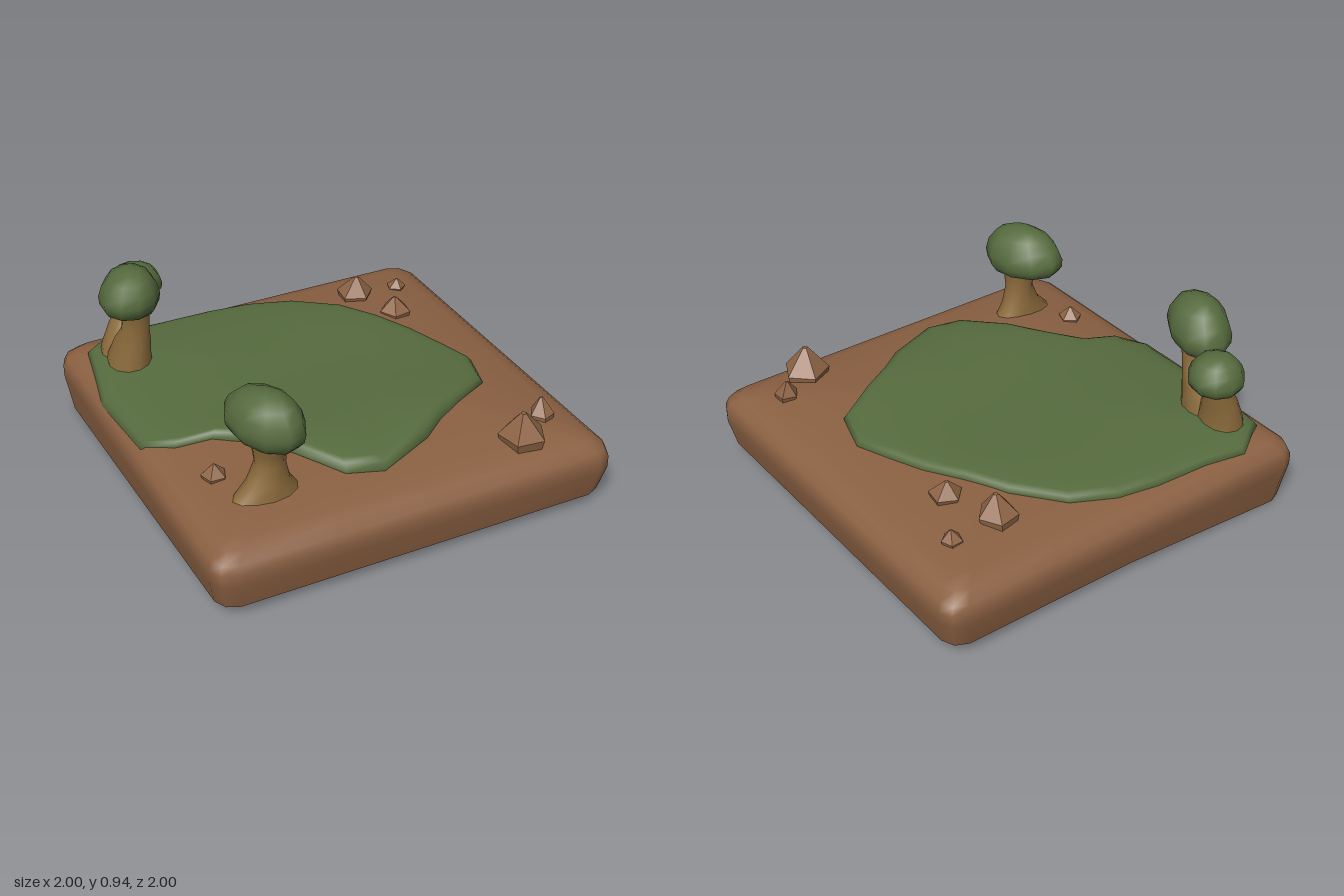
import * as THREE from 'three';
import { mergeVertices } from 'three/addons/utils/BufferGeometryUtils.js';

const material = (color, flatShading = false) =>
  new THREE.MeshStandardMaterial({ color, flatShading, side: THREE.DoubleSide });
const SOIL = material(0x8a6042);
const GRASS = material(0x566b3e);
const BARK = material(0x8c6c3c);
const ROCK = material(0x8f6546, true);

// Skin a stack of equal-length rings, each counter-clockwise from above, bottom to top
function loft(rings) {
  const n = rings[0].length;
  const index = [];
  for (let i = 0; i < rings.length - 1; i++) {
    for (let j = 0; j < n; j++) {
      const a = i * n + j, b = i * n + (j + 1) % n;
      index.push(a, b, b + n, a, b + n, a + n);
    }
  }
  const geometry = new THREE.BufferGeometry();
  geometry.setAttribute('position', new THREE.Float32BufferAttribute(rings.flat(2), 3));
  geometry.setIndex(index);
  const merged = mergeVertices(geometry);
  merged.computeVertexNormals();
  return merged;
}

function addMesh(parent, name, geometry, mat) {
  const mesh = new THREE.Mesh(geometry, mat);
  mesh.name = name;
  parent.add(mesh);
  return mesh;
}

// Ellipse ring turned by an angle about y
function ellipse(cx, y, cz, rx, rz, turn = 0, sides = 12, tilt = 0) {
  return Array.from({ length: sides }, (_, i) => {
    const a = i / sides * Math.PI * 2;
    const x = Math.cos(a) * rx, z = -Math.sin(a) * rz;
    return [
      cx + x * Math.cos(turn) + z * Math.sin(turn),
      y + z * tilt,
      cz - x * Math.sin(turn) + z * Math.cos(turn)];
  });
}

// Ground slab profile: [half width, height], from the rim to the middle
const PROFILE = [[1, 0.25], [0.985, 0.29], [0.94, 0.328], [0.87, 0.352],
  [0.7, 0.375], [0.5, 0.398], [0.25, 0.408], [0, 0.41]];

function groundHeight(x, z) {
  const m = Math.min(1, Math.max(Math.abs(x), Math.abs(z)));
  for (let i = 1; i < PROFILE.length; i++) {
    const [r0, y0] = PROFILE[i - 1], [r1, y1] = PROFILE[i];
    if (m >= r1) return y1 + (y0 - y1) * (m - r1) / (r0 - r1);
  }
  return 0.41;
}

// Rounded square slab, open underneath, with an uneven lower rim
function groundGeometry() {
  let side = [[-0.91, 1], [-0.45, 1], [0, 1], [0.45, 1], [0.91, 1], [0.972, 0.972]];
  const outline = [];
  for (let k = 0; k < 4; k++) {
    outline.push(...side);
    side = side.map(([x, z]) => [z, -x]);
  }
  const rim = outline.map(([x, z]) => {
    const drop = Math.max(0, -x / 0.972) * (1 - z / 0.972) / 2;
    return [x * 0.97, Math.max(0, 0.058 - 0.058 * drop), z * 0.97];
  });
  const rings = PROFILE.map(([r, y]) => outline.map(([x, z]) => [x * r, y, z * r]));
  const low = outline.map(([x, z]) => [x, 0.19, z]);
  return loft([rim, low, ...rings]);
}

// Grass patch: irregular outline, thin skirt and a gentle mound
function grassGeometry() {
  const outline = [
    [-0.9, -0.81], [-0.82, -0.86], [-0.71, -0.93], [-0.5, -0.9], [-0.22, -0.89],
    [-0.01, -0.86], [0.2, -0.77], [0.39, -0.58], [0.5, -0.39], [0.6, -0.21],
    [0.67, -0.03], [0.73, 0.14], [0.67, 0.35], [0.48, 0.46], [0.32, 0.55],
    [0.2, 0.64], [-0.08, 0.76], [-0.25, 0.71], [-0.4, 0.5], [-0.52, 0.34],
    [-0.67, 0.2], [-0.84, 0.16], [-0.96, 0.04], [-0.98, -0.4], [-0.94, -0.6]].reverse();
  const cx = -0.15, cz = -0.1;
  const ring = ([scale, lift]) => outline.map(([px, pz]) => {
    const x = cx + (px - cx) * scale, z = cz + (pz - cz) * scale;
    const mound = scale < 0.99 ? 0.035 * Math.exp(-3 * (x + 0.1) ** 2 - 8 * (z - 0.48) ** 2) : 0;
    return [x, groundHeight(x, z) + lift + mound, z];
  });
  return loft([[0.985, -0.03], [1, 0.005], [0.98, 0.024], [0.94, 0.03], [0.87, 0.03],
    [0.75, 0.03], [0.6, 0.027], [0.4, 0.024], [0.2, 0.022], [0, 0.02]].map(ring));
}

// Domed crown with a tucked-in underside; its top leans by (leanX, leanZ)
function crownGeometry({ x, z, rx, rz, y0, y1, turn, leanX = 0, leanZ = 0, tilt = 0 }) {
  const profile = [[0, 0.06], [0.55, 0.03], [0.84, 0.05], [0.97, 0.2], [1, 0.38],
    [0.9, 0.62], [0.68, 0.84], [0.36, 0.97], [0, 1]];
  return loft(profile.map(([r, h]) =>
    ellipse(x + leanX * h, y0 + (y1 - y0) * h, z + leanZ * h, rx * r, rz * r, turn, 10,
      tilt * (1 - h))));
}

// Trunk from sections [x, y, z, rx, rz]
const trunkGeometry = (sections) =>
  loft(sections.map(([x, y, z, rx, rz]) => ellipse(x, y, z, rx, rz)));

function addTree(parent, name, trunks, crowns) {
  const tree = new THREE.Group();
  tree.name = name;
  trunks.forEach((sections) => addMesh(tree, 'trunk', trunkGeometry(sections), BARK));
  crowns.forEach((crown) => addMesh(tree, 'crown', crownGeometry(crown), GRASS));
  parent.add(tree);
}

// Faceted stone with an off-centre peak
function rockGeometry(r, h, turn, leanX, leanZ) {
  const points = [[0.85, -0.15], [1, 0.25], [0.12, 1]].map(([a, b]) => new THREE.Vector2(a * r, b * h));
  points.push(new THREE.Vector2(0, h));
  const geometry = new THREE.LatheGeometry(points, 5);
  geometry.rotateY(turn);
  const p = geometry.attributes.position;
  for (let i = 0; i < p.count; i++) {
    const k = Math.max(0, p.getY(i) / h);
    p.setX(i, p.getX(i) + leanX * k);
    p.setZ(i, p.getZ(i) + leanZ * k);
  }
  return geometry;
}

export function createModel() {
  const model = new THREE.Group();
  model.name = 'islandTile';
  addMesh(model, 'ground', groundGeometry(), SOIL);
  addMesh(model, 'grassPatch', grassGeometry(), GRASS);

  // Single tree at the front
  addTree(model, 'frontTree', [[
    [-0.62, 0.335, 0.66, 0.185, 0.09], [-0.615, 0.37, 0.66, 0.155, 0.087],
    [-0.605, 0.44, 0.66, 0.1, 0.08], [-0.595, 0.53, 0.66, 0.07, 0.07],
    [-0.6, 0.6, 0.665, 0.075, 0.085], [-0.6, 0.68, 0.67, 0.09, 0.105]]],
  [{ x: -0.6, z: 0.615, rx: 0.145, rz: 0.215, y0: 0.635, y1: 0.87, turn: 0.33, leanZ: 0.03, tilt: -0.08 }]);

  // Forked tree at the back
  addTree(model, 'forkedTree', [
    [[-0.755, 0.35, -0.6, 0.115, 0.135], [-0.755, 0.42, -0.6, 0.1, 0.13],
      [-0.745, 0.52, -0.57, 0.085, 0.1], [-0.74, 0.6, -0.535, 0.07, 0.06],
      [-0.74, 0.68, -0.515, 0.068, 0.045], [-0.74, 0.76, -0.51, 0.08, 0.06]],
    [[-0.755, 0.35, -0.71, 0.11, 0.12], [-0.75, 0.42, -0.71, 0.1, 0.115],
      [-0.72, 0.52, -0.73, 0.08, 0.09], [-0.69, 0.6, -0.75, 0.06, 0.055],
      [-0.665, 0.69, -0.76, 0.05, 0.05]]],
  [{ x: -0.77, z: -0.515, rx: 0.145, rz: 0.193, y0: 0.715, y1: 0.945, turn: -0.33, leanZ: 0.03, tilt: 0.12 },
    { x: -0.65, z: -0.765, rx: 0.137, rz: 0.132, y0: 0.64, y1: 0.81, turn: 0.2, leanZ: 0.01, tilt: 0.03 }]);

  // Scattered rocks: x, z, radius, height, turn, lean x, lean z
  [
    [0.6, 0.81, 0.115, 0.155, 0.5, -0.01, 0.01],
    [0.775, 0.7, 0.06, 0.1, 1.0, 0.005, -0.02],
    [0.52, -0.68, 0.095, 0.125, 0.2, 0, 0.02],
    [0.62, -0.42, 0.08, 0.09, 0.8, 0, -0.01],
    [0.765, -0.68, 0.05, 0.06, 1.3, 0, 0.01],
    [-0.77, 0.45, 0.06, 0.07, 0.6, 0, 0],
  ].forEach(([x, z, r, h, turn, leanX, leanZ]) => {
    const rock = addMesh(model, 'rock', rockGeometry(r, h, turn, leanX, leanZ), ROCK);
    rock.position.set(x, groundHeight(x, z) - 0.005, z);
  });

  return model;
}
